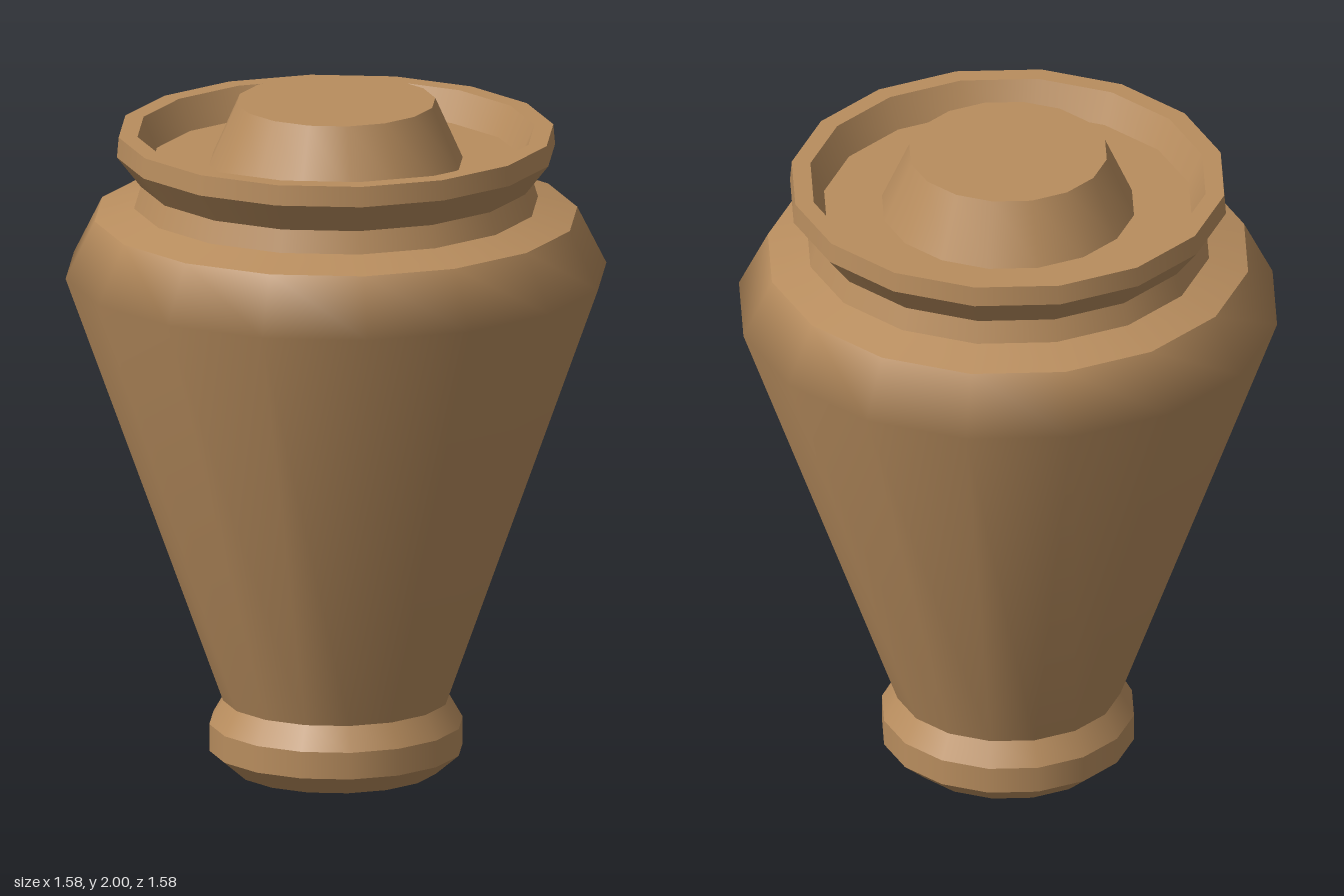
import * as THREE from 'three';
import { mergeGeometries } from 'three/addons/utils/BufferGeometryUtils.js';

const SIDES = 16;

// Revolve one smooth band of [radius, height] points, listed from the bottom outward and up
const band = (points) =>
  new THREE.LatheGeometry(points.map(([r, y]) => new THREE.Vector2(r, y)), SIDES);

// Revolve a profile with a sharp edge at every point
const creased = (points) =>
  mergeGeometries(points.slice(1).map((p, i) => band([points[i], p])));

export function createModel() {
  const group = new THREE.Group();
  group.name = 'urn';
  const clay = new THREE.MeshStandardMaterial({ color: 0xb88d5e });

  const add = (name, geometry) => {
    const mesh = new THREE.Mesh(geometry, clay);
    mesh.name = name;
    group.add(mesh);
  };

  // Foot ring with closed underside
  add('foot', creased([[0, 0], [0.3, 0], [0.37, 0.06], [0.37, 0.14], [0.33, 0.21]]));

  // Tapered body, rounded over smoothly at the shoulder
  add('body', band([[0.33, 0.21], [0.79, 1.49], [0.705, 1.66]]));

  // Sloped collar and narrow neck
  add('neck', creased([[0.705, 1.66], [0.59, 1.695], [0.57, 1.76]]));

  // Flared rim with a recessed inner wall
  add('rim', creased([[0.57, 1.76], [0.64, 1.85], [0.635, 1.91], [0.58, 1.91], [0.54, 1.82]]));

  // Sunken lid and its tapered knob
  add('lid', creased([[0.54, 1.82], [0.37, 1.82]]));
  add('knob', creased([[0.37, 1.82], [0.29, 2], [0, 2]]));

  return group;
}
